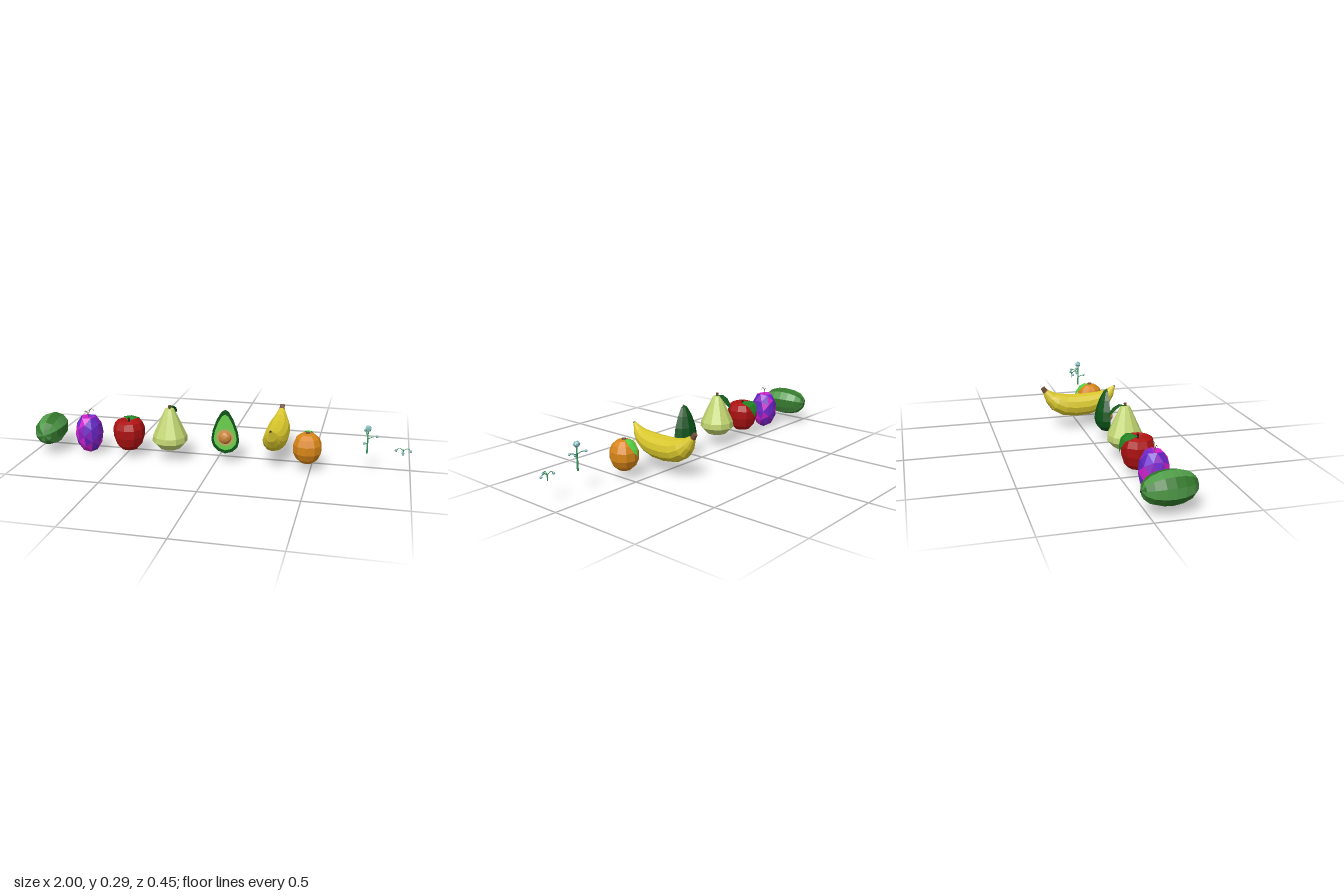
import * as THREE from 'three';

const mat = (color, side = THREE.FrontSide) =>
  new THREE.MeshStandardMaterial({ color, flatShading: true, side });

function add(parent, name, geometry, material, x = 0, y = 0, z = 0) {
  const m = new THREE.Mesh(geometry, material);
  m.name = name;
  m.position.set(x, y, z);
  parent.add(m);
  return m;
}

function addGroup(parent, name, x = 0, y = 0, z = 0) {
  const g = new THREE.Group();
  g.name = name;
  g.position.set(x, y, z);
  parent.add(g);
  return g;
}

const vecs = (pts) => pts.map((p) => new THREE.Vector2(p[0], p[1]));
const lathe = (pts, sides, start, length) => new THREE.LatheGeometry(vecs(pts), sides, start, length);
const tube = (pts, r, n = 8) => new THREE.TubeGeometry(
  new THREE.CatmullRomCurve3(pts.map((p) => new THREE.Vector3(...p))), n, r, 5);

// Grid of cross-sections: each row is an array of [x, y, z]
function loft(rows, closed) {
  const n = rows[0].length, idx = [];
  for (let i = 0; i < rows.length - 1; i++) {
    for (let j = 0; j < (closed ? n : n - 1); j++) {
      const k = (j + 1) % n, a = i * n + j, b = i * n + k;
      idx.push(a, b, a + n, b, b + n, a + n);
    }
  }
  const g = new THREE.BufferGeometry();
  g.setAttribute('position', new THREE.Float32BufferAttribute(rows.flat(2), 3));
  g.setIndex(idx);
  g.computeVertexNormals();
  return g;
}

// Round sweep along stations [z, y, radius] in the x = 0 plane, ends closed
function sweep(st, sides) {
  const last = st.length - 1;
  const rows = st.map(([z, y, r], i) => {
    const a = st[Math.max(i - 1, 0)], b = st[Math.min(i + 1, last)];
    const len = Math.hypot(b[0] - a[0], b[1] - a[1]);
    const tz = (b[0] - a[0]) / len, ty = (b[1] - a[1]) / len;
    return Array.from({ length: sides }, (_, j) => {
      const t = (j / sides) * Math.PI * 2, c = Math.cos(t) * r, s = Math.sin(t) * r;
      return [c, y + s * tz, z - s * ty];
    });
  });
  const cap = ([z, y]) => Array.from({ length: sides }, () => [0, y, z]);
  return loft([cap(st[0]), ...rows, cap(st[last])], true);
}

// Creased leaf following [z, y, halfWidth] stations
const leaf = (st) => loft(st.map(([z, y, w]) => [[-w, y - w * 0.2, z], [0, y, z], [w, y - w * 0.2, z]]), false);

function seeded(seed) {
  return () => (seed = (seed * 16807) % 2147483647) / 2147483647;
}

export function createModel() {
  const root = new THREE.Group();
  root.name = 'fruitRow';
  const brown = mat(0x74503a), dark = mat(0x2c2015);
  const double = THREE.DoubleSide;

  // Watermelon: alternating stripes around a long axis
  const melon = addGroup(root, 'watermelon', -0.92, 0.122, 0.094);
  melon.rotation.set(Math.PI / 2, 0, -0.1);
  const rind = [[0, -0.132], [0.037, -0.121], [0.062, -0.092], [0.077, -0.045], [0.081, 0],
    [0.077, 0.045], [0.062, 0.092], [0.037, 0.121], [0, 0.133]];
  const greens = [mat(0x34782c), mat(0x4f9a48)];
  for (let i = 0; i < 10; i++) {
    add(melon, 'rindStripe', lathe(rind, 1, i * Math.PI / 5, Math.PI / 5), greens[i % 2]);
  }
  add(melon, 'stemStub', new THREE.CylinderGeometry(0.006, 0.004, 0.012, 6), dark, 0, -0.131, 0);

  // Faceted purple fruit with mottled faces, a dented top and tendrils
  const purple = addGroup(root, 'purpleFruit', -0.7, 0, 0.098);
  const body = new THREE.IcosahedronGeometry(1, 1);
  body.scale(0.075, 0.112, 0.075);
  const p = body.attributes.position;
  for (let i = 0; i < p.count; i++) if (p.getY(i) > 0.105) p.setY(i, 0.085);
  const rand = seeded(41);
  for (let i = 0; i < p.count; i += 3) body.addGroup(i, 3, Math.floor(rand() * 4));
  add(purple, 'mottledSkin', body, [0x6024c0, 0x7028d0, 0x8a20c0, 0xd020cc].map((c) => mat(c)), 0, 0.115, 0);
  const wire = mat(0x6a5a50);
  add(purple, 'tendril', tube([[0, 0.198, 0], [0.004, 0.235, 0], [0.018, 0.25, 0], [0.032, 0.238, 0]], 0.0016), wire);
  add(purple, 'tendril', tube([[0, 0.198, 0], [-0.006, 0.228, 0.004], [-0.016, 0.238, 0.006], [-0.024, 0.23, 0.006]], 0.0016), wire);

  // Apple
  const apple = addGroup(root, 'apple', -0.475, 0, 0.093);
  add(apple, 'appleBody', lathe([[0, 0.05], [0.045, 0.044], [0.067, 0.068], [0.082, 0.115], [0.084, 0.16],
    [0.071, 0.193], [0.045, 0.204], [0, 0.182]], 10), mat(0xae1212));
  add(apple, 'appleStem', new THREE.CylinderGeometry(0.006, 0.004, 0.032, 6), dark, 0, 0.195, 0);
  add(apple, 'appleLeaf', leaf([[0, 0.2, 0.004], [-0.025, 0.212, 0.034], [-0.048, 0.212, 0.045],
    [-0.074, 0.195, 0.036], [-0.088, 0.16, 0.02], [-0.092, 0.125, 0]]), mat(0x238424, double));

  // Pear
  const pear = addGroup(root, 'pear', -0.246, 0, 0.098);
  add(pear, 'pearBody', lathe([[0, 0.05], [0.058, 0.068], [0.093, 0.105], [0.091, 0.135], [0.061, 0.2],
    [0.038, 0.25], [0.023, 0.28], [0, 0.282]], 10), mat(0xc2d672));
  add(pear, 'pearStem', new THREE.CylinderGeometry(0.008, 0.006, 0.025, 6), brown, 0, 0.285, 0);
  add(pear, 'pearLeaf', leaf([[0, 0.284, 0.003], [-0.028, 0.291, 0.016], [-0.055, 0.276, 0.022],
    [-0.08, 0.248, 0.018], [-0.093, 0.221, 0]]), mat(0x145a1c, double));

  // Avocado half: faceted skin behind a flat cut face with the stone in it
  const avocado = addGroup(root, 'avocadoHalf', 0.05, 0, 0.086);
  const side = [[0, 0.05], [0.04, 0.063], [0.066, 0.09], [0.075, 0.125], [0.067, 0.175], [0.045, 0.235],
    [0.02, 0.278], [0, 0.291]];
  const skin = add(avocado, 'skin', lathe(side, 5, Math.PI / 2, Math.PI), mat(0x0a5216));
  skin.scale.z = 0.9;
  const face = (s, cy) => new THREE.ShapeGeometry(new THREE.Shape(vecs(
    [...side, ...side.slice(1, -1).reverse().map(([x, y]) => [-x, y])]
      .map(([x, y]) => [x * s, cy + (y - cy) * s]))));
  add(avocado, 'skinRim', face(1, 0.15), mat(0x0a5216));
  add(avocado, 'flesh', face(0.82, 0.15), mat(0x68d04c), 0, 0, 0.002);
  add(avocado, 'stoneRing', new THREE.CircleGeometry(0.047, 12), mat(0xc4a860), 0, 0.14, 0.004);
  const stone = add(avocado, 'stone', new THREE.IcosahedronGeometry(0.036, 1), mat(0xc88438), 0, 0.14, 0.002);
  stone.scale.z = 0.85;

  // Banana, lying front to back and curving up at both ends
  const banana = addGroup(root, 'banana', 0.305);
  add(banana, 'peel', sweep([[0.198, 0.228, 0.006], [0.17, 0.19, 0.029], [0.14, 0.165, 0.044],
    [0.1, 0.147, 0.055], [0.04, 0.135, 0.062], [-0.03, 0.133, 0.064], [-0.09, 0.139, 0.062],
    [-0.14, 0.16, 0.053], [-0.172, 0.186, 0.037], [-0.203, 0.224, 0.016]], 12), mat(0xd8c62c));
  add(banana, 'bananaStem', sweep([[-0.196, 0.216, 0.018], [-0.207, 0.23, 0.014], [-0.217, 0.246, 0.013]], 8), brown);
  add(banana, 'blossomEnd', sweep([[0.195, 0.223, 0.008], [0.201, 0.232, 0.004]], 6), mat(0x1a1408));

  // Orange
  const orange = addGroup(root, 'orange', 0.481, 0, 0.097);
  add(orange, 'orangeBody', lathe([[0, 0.044], [0.032, 0.044], [0.058, 0.066], [0.074, 0.1], [0.074, 0.142],
    [0.06, 0.175], [0.036, 0.195], [0.012, 0.199], [0, 0.194]], 10), mat(0xd88618));
  add(orange, 'orangeStem', new THREE.CylinderGeometry(0.01, 0.016, 0.012, 6), brown, 0, 0.2, 0);
  add(orange, 'orangeLeaf', leaf([[0, 0.196, 0.003], [-0.028, 0.206, 0.016], [-0.055, 0.19, 0.023],
    [-0.078, 0.162, 0.017], [-0.092, 0.13, 0]]), mat(0x4fd040, double));

  // Berry sprigs: balls on arching twigs
  const berry = mat(0x88bcc0), twig = mat(0x3c9860);
  const ball = (g, r, [x, y, z]) => add(g, 'berry', new THREE.IcosahedronGeometry(r, 0), berry, x, y, z);
  const branch = (g, from, to, lift) => {
    const mid = from.map((v, i) => v + (to[i] - v) * 0.6 + (i === 1 ? lift : 0));
    add(g, 'twig', tube([from, mid, to], 0.0022, 6), twig);
    ball(g, 0.008, to);
  };
  const tall = addGroup(root, 'tallBerrySprig', 0.78, 0, 0.098);
  add(tall, 'stalk', new THREE.CylinderGeometry(0.003, 0.005, 0.125, 6), twig, 0, 0.178, 0);
  ball(tall, 0.018, [0, 0.247, 0]);
  branch(tall, [0, 0.193, 0], [0.045, 0.208, 0], 0.004);
  branch(tall, [0, 0.165, 0], [-0.015, 0.18, 0.033], 0.002);
  branch(tall, [0, 0.198, 0], [-0.015, 0.221, -0.047], 0.004);

  const small = addGroup(root, 'smallBerrySprig', 0.957, 0, 0.098);
  for (const to of [[-0.036, 0.143, 0], [0.035, 0.143, 0], [-0.003, 0.143, 0.033]]) {
    branch(small, [0, 0.145, 0], to, 0.013);
  }
  add(small, 'smallStalk', new THREE.CylinderGeometry(0.003, 0.003, 0.03, 5), twig, 0, 0.132, 0);

  return root;
}
